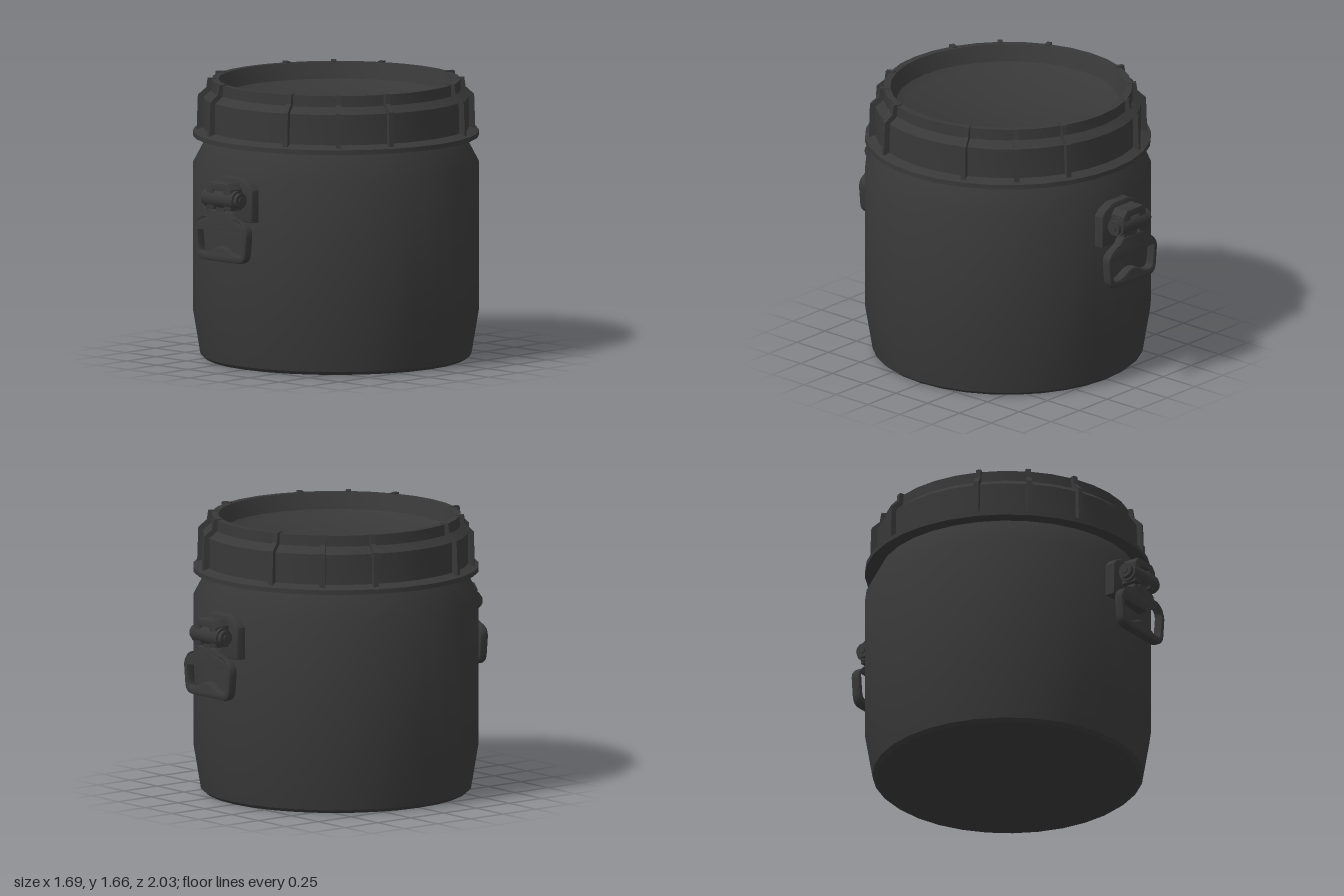
import * as THREE from 'three';
import { toCreasedNormals } from 'three/addons/utils/BufferGeometryUtils.js';

const SIDES = 32;
const plastic = new THREE.MeshStandardMaterial({ color: 0x383838 });
const vec = (pts) => pts.map(([x, y]) => new THREE.Vector2(x, y));

function part(name, geometry, parent) {
  const mesh = new THREE.Mesh(geometry, plastic);
  mesh.name = name;
  parent.add(mesh);
  return mesh;
}

const lathe = (pts) => toCreasedNormals(new THREE.LatheGeometry(vec(pts), SIDES), 0.6);

// Extrudes a shape so it spans z0..z1, bevel included and kept inside the outline.
function slab(shape, z0, z1, bevel = 0) {
  const geo = new THREE.ExtrudeGeometry(shape, {
    depth: z1 - z0 - 2 * bevel, curveSegments: 6,
    bevelEnabled: bevel > 0, bevelThickness: bevel, bevelSize: bevel, bevelOffset: -bevel, bevelSegments: 2,
  });
  geo.translate(0, 0, z0 + bevel);
  return toCreasedNormals(geo, 0.6);
}

// Closed outline with rounded corners; each corner is [x, y, radius].
function rounded(path, corners) {
  const n = corners.length;
  corners.forEach(([x, y, r], i) => {
    const toward = ([px, py]) => {
      const d = Math.hypot(px - x, py - y);
      return [x + (px - x) * r / d, y + (py - y) * r / d];
    };
    const a = toward(corners[(i + n - 1) % n]), b = toward(corners[(i + 1) % n]);
    if (i) path.lineTo(...a); else path.moveTo(...a);
    path.quadraticCurveTo(x, y, ...b);
  });
  path.closePath();
  return path;
}

function createHandle() {
  const handle = new THREE.Group();

  // Mounting plate on the drum wall
  part('handlePlate', slab(new THREE.Shape(vec([
    [-0.165, 0.9], [0.165, 0.9], [0.165, 1.09], [0.14, 1.125], [0.07, 1.16],
    [-0.07, 1.16], [-0.14, 1.125], [-0.165, 1.09],
  ])), 0.8, 0.89, 0.012), handle);

  // Forked hinge bracket
  part('hingeBracket', slab(new THREE.Shape(vec([
    [-0.1, 0.975], [-0.04, 0.975], [-0.04, 1.09], [0.04, 1.09], [0.04, 0.975], [0.1, 0.975],
    [0.1, 1.1], [0.07, 1.135], [-0.07, 1.135], [-0.1, 1.1],
  ])), 0.9, 1.0, 0.006), handle);
  const stub = part('hingeStub', new THREE.BoxGeometry(0.12, 0.08, 0.04), handle);
  stub.position.set(0, 1.06, 0.895);

  // Hinge pin with stepped ends
  for (const [radius, length] of [[0.058, 0.24], [0.045, 0.29], [0.022, 0.305]]) {
    const pin = part('hingePin', new THREE.CylinderGeometry(radius, radius, length, 16), handle);
    pin.rotation.z = Math.PI / 2;
    pin.position.set(0, 1.037, 0.955);
  }

  // Tongue joining the grip to the pin
  const tongue = part('gripTongue', new THREE.BoxGeometry(0.066, 0.15, 0.06), handle);
  tongue.position.set(0, 1.01, 0.955);

  // Grip loop with a raised palm rest along its lower bar
  const outline = rounded(new THREE.Shape(), [
    [-0.2, 0.665, 0.06], [0.2, 0.665, 0.06], [0.222, 0.885, 0.06],
    [0.115, 0.925, 0.04], [0.085, 0.97, 0.02], [-0.085, 0.97, 0.02],
    [-0.115, 0.925, 0.04], [-0.222, 0.885, 0.06],
  ]);
  const hole = new THREE.Path();
  hole.moveTo(-0.15, 0.712);
  hole.quadraticCurveTo(-0.172, 0.715, -0.175, 0.75);
  hole.lineTo(-0.185, 0.85);
  hole.quadraticCurveTo(-0.185, 0.895, -0.13, 0.912);
  hole.lineTo(0.13, 0.912);
  hole.quadraticCurveTo(0.185, 0.895, 0.185, 0.85);
  hole.lineTo(0.175, 0.75);
  hole.quadraticCurveTo(0.172, 0.715, 0.15, 0.712);
  hole.lineTo(0.12, 0.712);
  hole.bezierCurveTo(0.06, 0.725, 0.05, 0.757, 0, 0.757);
  hole.bezierCurveTo(-0.05, 0.757, -0.06, 0.725, -0.12, 0.712);
  hole.closePath();
  outline.holes.push(hole);
  part('gripLoop', slab(outline, 0.928, 0.988, 0.014), handle);

  return handle;
}

export function createModel() {
  const model = new THREE.Group();
  model.name = 'drum';

  // Drum body, with the shoulder running up under the lid
  part('body', lathe([
    [0, 0], [0.775, 0], [0.8, 0.02], [0.845, 0.29], [0.845, 1.16], [0.755, 1.33],
  ]), model);

  // Screw lid: flange, stepped wall, rim and recessed top
  part('lid', lathe([
    [0.74, 1.32], [0.845, 1.32], [0.845, 1.348], [0.787, 1.37], [0.785, 1.55],
    [0.738, 1.59], [0.735, 1.655], [0.695, 1.655], [0.66, 1.56], [0.613, 1.53], [0, 1.53],
  ]), model);

  // Grip ribs around the lid, three in each quarter
  const ribGeometry = slab(new THREE.Shape(vec([
    [0.705, 1.64], [0.72, 1.56], [0.76, 1.35], [0.822, 1.355], [0.815, 1.56],
    [0.765, 1.605], [0.757, 1.662], [0.705, 1.662],
  ])), -0.015, 0.015);
  for (let i = 0; i < 16; i++) {
    if (i % 4 === 0) continue;
    part('lidRib', ribGeometry, model).rotation.y = i * Math.PI / 8;
  }

  // Carrying handles, front and back
  for (const [name, turn] of [['frontHandle', 0], ['backHandle', Math.PI]]) {
    const handle = createHandle();
    handle.name = name;
    handle.rotation.y = turn;
    model.add(handle);
  }
  return model;
}
